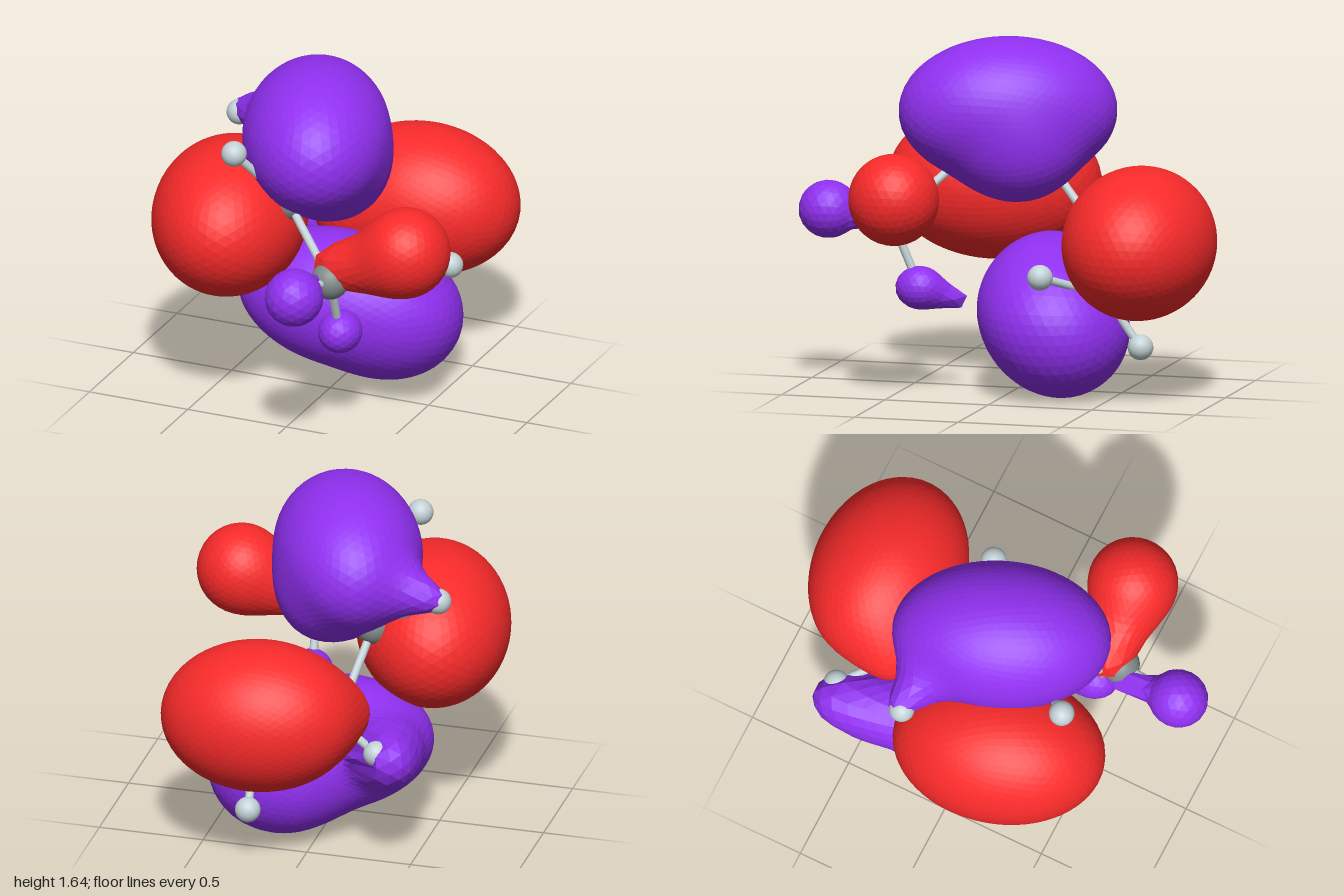
import * as THREE from 'three';

const V = (a, i = 0) => new THREE.Vector3(a[i], a[i + 1], a[i + 2]);
const mat = (color, flatShading = false) => new THREE.MeshStandardMaterial({ color, flatShading });

// Atom centres: a five-carbon chain and its hydrogens
const carbons = [
  [0.25, 0.53, -0.49], [-0.12, 0.68, -0.41], [-0.21, 1.04, -0.1], [-0.08, 1.08, 0.3], [0.24, 0.83, 0.54],
];
// x, y, z, index of the bonded carbon
const hydrogens = [
  [0.24, 0.29, -0.66, 0], [-0.37, 0.64, -0.63, 1], [0.5, 0.64, -0.25, 0], [-0.55, 1.25, -0.2, 2],
  [-0.27, 1.36, 0.49, 3], [0.2, 0.87, 0.86, 4], [0.23, 0.52, 0.41, 4], [0.57, 1.0, 0.44, 4],
];

// Lobes: a centre and blended ellipsoids, each [tip xyz, opposite tip xyz, radius]
const lobes = [
  { name: 'upperPurpleLobe', color: 'purple', detail: 11, centre: [-0.05, 1.3, 0.04], blend: 0.12, blobs: [
    [-0.23, 1.32, -0.41, 0.15, 1.33, 0.535, 0.345],
    [0.03, 1.15, -0.27, 0.03, 1.15, 0.27, 0.235],
    [0, 1.31, -0.08, -0.59, 1.26, -0.23, 0.11]] },
  { name: 'lowerPurpleLobe', color: 'purple', detail: 12, centre: [-0.05, 0.42, -0.2], blend: 0.1, blobs: [
    [-0.49, 0.5, -0.08, 0.5, 0.36, -0.2, 0.32],
    [-0.17, 0.37, -0.25, 0.53, 0.31, -0.28, 0.31],
    [-0.24, 0.45, -0.02, -0.45, 0.6, -0.69, 0.17],
    [-0.37, 0.61, -0.6, -0.5, 0.62, -0.6, 0.085]] },
  { name: 'sideRedLobe', color: 'red', detail: 11, centre: [-0.4, 0.92, 0.23], blend: 0.1, blobs: [
    [-0.53, 0.9, -0.25, -0.28, 0.95, 0.715, 0.36]] },
  { name: 'backRedLobe', color: 'red', detail: 11, centre: [0.18, 0.77, -0.64], blend: 0.12, blobs: [
    [-0.27, 0.79, -0.61, 0.65, 0.75, -0.67, 0.355],
    [0.3, 0.78, -0.65, -0.27, 0.73, -0.4, 0.19]] },
  { name: 'smallRedLobe', color: 'red', detail: 6, centre: [0.55, 0.99, 0.435], blend: 0.12, blobs: [
    [0.37, 0.98, 0.44, 0.785, 1.0, 0.43, 0.21],
    [0.13, 0.86, 0.5, 0.66, 0.96, 0.43, 0.13]] },
  { name: 'frontPurpleLobe', color: 'purple', detail: 3, centre: [0.2, 0.86, 0.84], blend: 0.04, blobs: [
    [0.2, 0.86, 0.72, 0.2, 0.865, 1.0, 0.135],
    [0.2, 0.85, 0.85, 0.17, 0.81, 0.45, 0.06]] },
  { name: 'lowerFrontPurpleLobe', color: 'purple', detail: 3, centre: [0.23, 0.515, 0.4], blend: 0.06, blobs: [
    [0.235, 0.52, 0.3, 0.235, 0.52, 0.52, 0.1],
    [0.24, 0.53, 0.48, 0.16, 0.45, 0.19, 0.06]] },
];

// Approximate distance from p to an ellipsoid of revolution
function ellipsoidDistance(p, blob) {
  const tip = V(blob), axis = V(blob, 3).sub(tip), half = axis.length() / 2, radius = blob[6];
  const q = p.clone().sub(tip.addScaledVector(axis, 0.5));
  const along = q.dot(axis.normalize());
  const across = Math.sqrt(Math.max(q.lengthSq() - along * along, 0));
  const k0 = Math.hypot(along / half, across / radius);
  const k1 = Math.hypot(along / half ** 2, across / radius ** 2);
  return k0 * (k0 - 1) / Math.max(k1, 1e-6);
}

// Smoothly blended distance to a whole lobe
function lobeDistance(p, { blobs, blend }) {
  let d = 1000;
  for (const blob of blobs) {
    const e = ellipsoidDistance(p, blob);
    const h = Math.max(blend - Math.abs(d - e), 0) / blend;
    d = Math.min(d, e) - h * h * blend / 4;
  }
  return d;
}

// Shrinks a faceted sphere radially onto the lobe surface
function lobeGeometry(lobe) {
  const geo = new THREE.IcosahedronGeometry(1, lobe.detail);
  const pos = geo.attributes.position, centre = V(lobe.centre);
  const dir = new THREE.Vector3(), p = new THREE.Vector3();
  for (let i = 0; i < pos.count; i++) {
    dir.fromBufferAttribute(pos, i).normalize();
    let r = 1.1;
    for (let step = 0; step < 70; step++) {
      const d = lobeDistance(p.copy(centre).addScaledVector(dir, r), lobe);
      if (d < 0.001) break;
      r = Math.max(0.02, r - d * 0.7);
    }
    p.copy(centre).addScaledVector(dir, r);
    pos.setXYZ(i, p.x, p.y, p.z);
  }
  geo.computeVertexNormals();
  return geo;
}

export function createModel() {
  const model = new THREE.Group();
  const materials = {
    purple: mat(0x9030f0, true), red: mat(0xf82a2a, true), carbon: mat(0x7f8a88), hydrogen: mat(0xc3d2d6),
  };
  const add = (name, geo, material) => {
    const mesh = new THREE.Mesh(geo, materials[material]);
    mesh.name = name;
    model.add(mesh);
    return mesh;
  };
  const atom = (name, at, radius, material) =>
    add(name, new THREE.SphereGeometry(radius, 24, 16), material).position.copy(V(at));
  const bond = (a, b) => {
    const from = V(a), to = V(b), axis = to.clone().sub(from);
    const rod = add('bond', new THREE.CylinderGeometry(0.02, 0.02, axis.length(), 12), 'hydrogen');
    rod.position.copy(from.add(to).multiplyScalar(0.5));
    rod.quaternion.setFromUnitVectors(new THREE.Vector3(0, 1, 0), axis.normalize());
  };

  // Ball-and-stick skeleton
  carbons.forEach((c, i) => {
    atom('carbonAtom', c, 0.09, 'carbon');
    if (i) bond(carbons[i - 1], c);
  });
  for (const h of hydrogens) {
    atom('hydrogenAtom', h, 0.06, 'hydrogen');
    bond(carbons[h[3]], h);
  }

  // Orbital lobes
  for (const lobe of lobes) add(lobe.name, lobeGeometry(lobe), lobe.color);
  return model;
}
